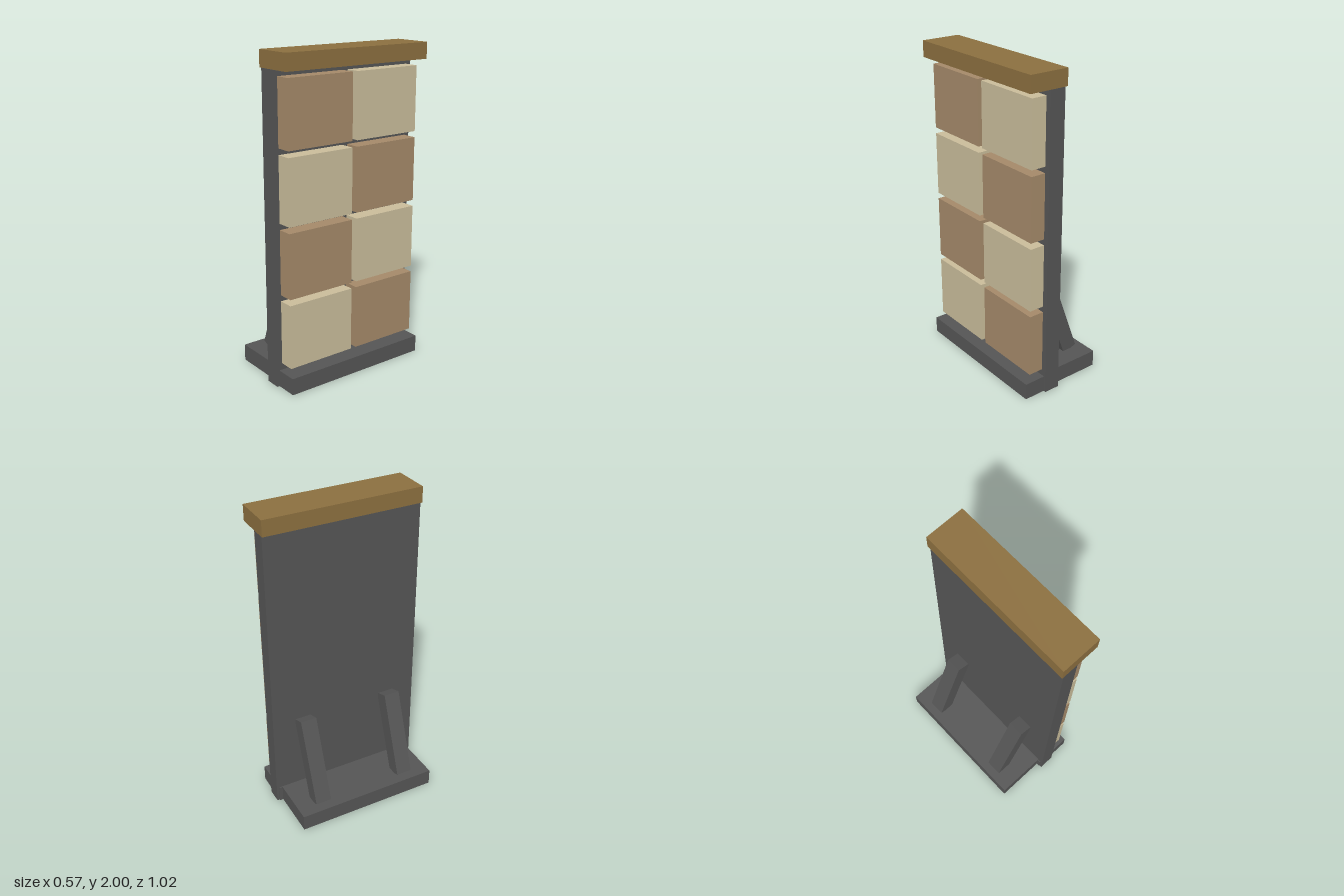
import * as THREE from 'three';

const material = (name, color) => {
  const m = new THREE.MeshStandardMaterial({ color });
  m.name = name;
  return m;
};

export function createModel() {
  const model = new THREE.Group();
  model.name = 'paddedBarrier';

  const steel = material('darkGrey', 0x555555);
  const wood = material('woodBrown', 0x8b6f3f);
  const sand = material('paleSand', 0xc9bc9a);
  const tan = material('tanBrown', 0xa48969);

  // Box given by its extents along each axis
  const box = (name, mat, [x0, x1], [y0, y1], [z0, z1]) => {
    const mesh = new THREE.Mesh(new THREE.BoxGeometry(x1 - x0, y1 - y0, z1 - z0), mat);
    mesh.position.set((x0 + x1) / 2, (y0 + y1) / 2, (z0 + z1) / 2);
    mesh.name = name;
    model.add(mesh);
    return mesh;
  };

  // Foot: a narrower rear plate and a slightly wider front plate
  box('rearFoot', steel, [-0.283, 0.037], [0, 0.105], [-0.468, 0.468]);
  box('frontFoot', steel, [0.037, 0.283], [0, 0.105], [-0.49, 0.49]);

  // Upright panel and wooden cap
  box('panel', steel, [0.044, 0.144], [0, 1.9], [-0.506, 0.506]);
  box('cap', wood, [0.03, 0.283], [1.9, 2], [-0.509, 0.509]);

  // Checkered blocks on the outer face
  for (let row = 0; row < 4; row++) {
    for (const side of [-1, 1]) {
      const y = 0.147 + row * 0.438;
      const z = side * 0.244;
      const mat = (row % 2 === 0) === (side > 0) ? sand : tan;
      box('block', mat, [0.144, 0.24], [y, y + 0.4], [z - 0.226, z + 0.226]);
    }
  }

  // Slanted braces behind the panel
  for (const side of [-1, 1]) {
    const brace = new THREE.Mesh(new THREE.BoxGeometry(0.1, 0.56, 0.105), steel);
    brace.name = 'brace';
    brace.position.set(-0.088, 0.365, side * 0.3);
    brace.rotation.z = -THREE.MathUtils.degToRad(20);
    model.add(brace);
  }

  return model;
}
